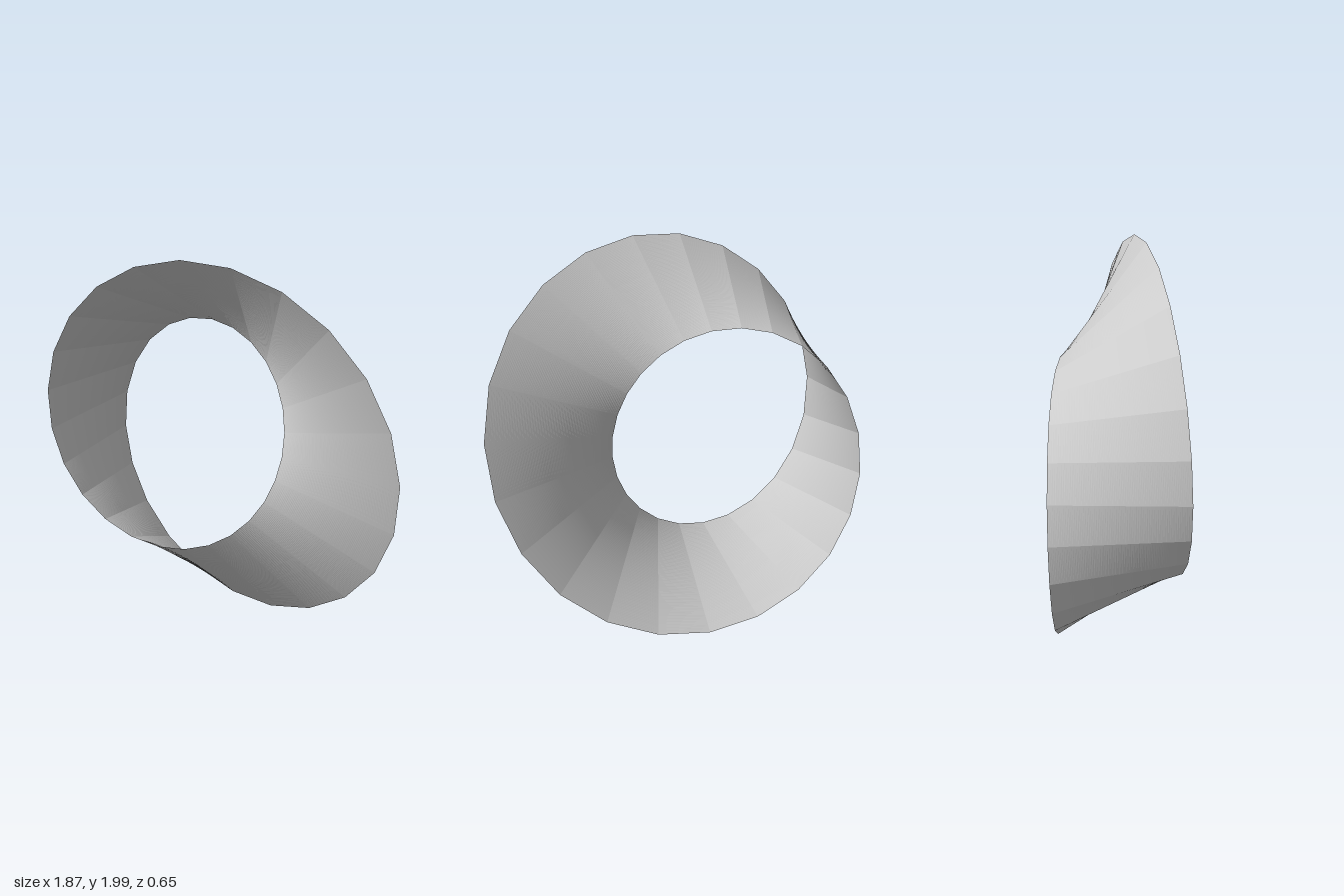
import * as THREE from 'three';

const RADIUS = 0.766;     // centre line of the band
const HALF_WIDTH = 0.327;
const CENTRE_X = -0.159;
const STEPS_AROUND = 24;
const STEPS_ACROSS = 80;

// Band with a single half twist: flat on the +x side, upright on the -x side
function createBandGeometry() {
  const geometry = new THREE.PlaneGeometry(1, 1, STEPS_AROUND, STEPS_ACROSS);
  const position = geometry.attributes.position;
  for (let i = 0; i < position.count; i++) {
    const angle = (position.getX(i) + 0.5) * Math.PI * 2;
    const across = position.getY(i) * 2 * HALF_WIDTH;
    const r = RADIUS + across * Math.cos(angle / 2);
    position.setXYZ(
      i,
      CENTRE_X + r * Math.cos(angle),
      1 + r * Math.sin(angle),
      across * Math.sin(angle / 2)
    );
  }
  geometry.computeVertexNormals();
  return geometry;
}

export function createModel() {
  const group = new THREE.Group();
  group.name = 'mobiusStrip';
  const material = new THREE.MeshStandardMaterial({
    color: 0xcccccc,
    flatShading: true,
    side: THREE.DoubleSide,
  });
  const band = new THREE.Mesh(createBandGeometry(), material);
  band.name = 'twistedBand';
  group.add(band);
  return group;
}
